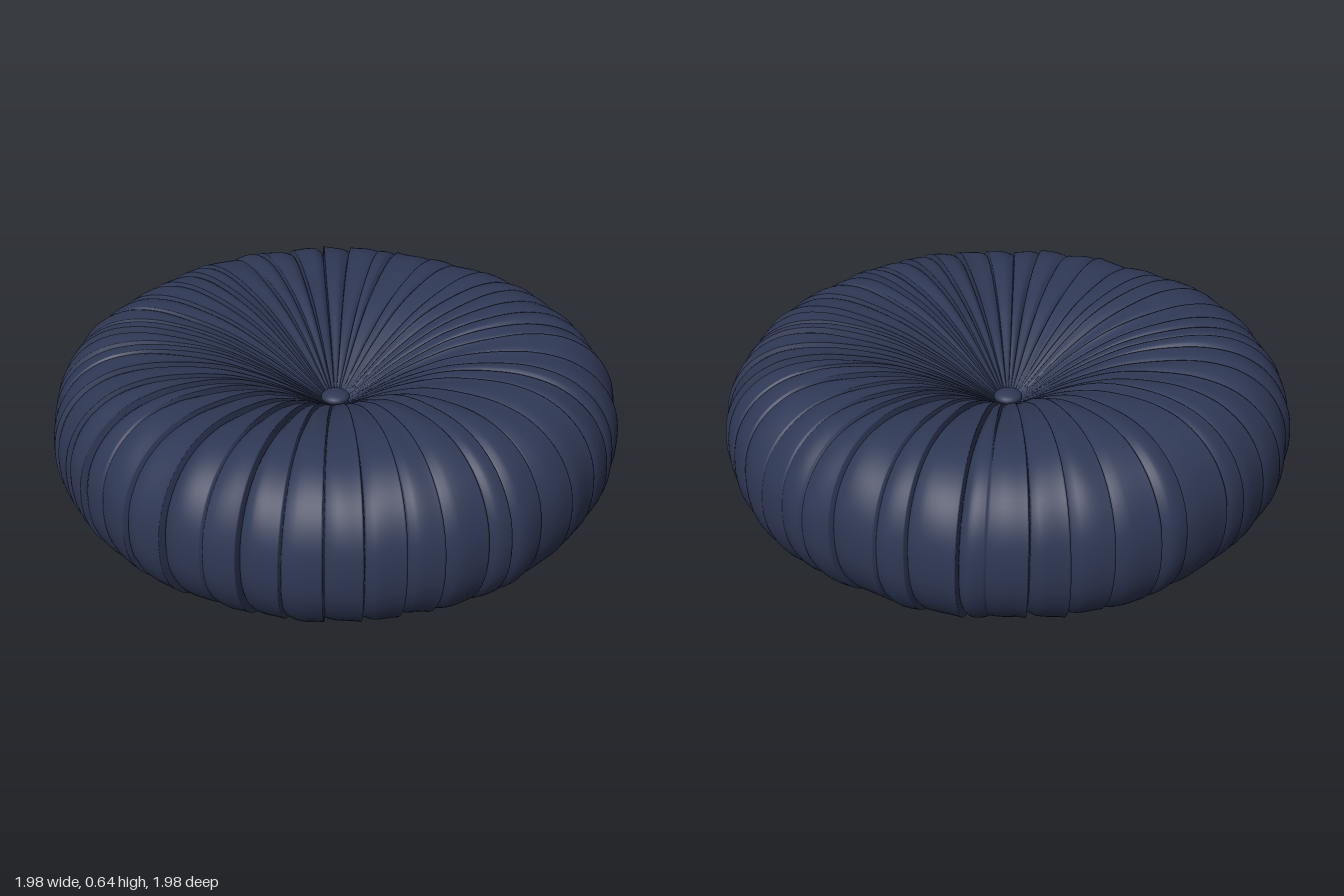
import * as THREE from 'three';

const PLEATS = 46, ROWS = 92, MID = 0.325;

// small seeded generator for the irregular pleats
function seeded(seed) {
  return () => {
    seed = (seed * 1664525 + 1013904223) % 4294967296;
    return seed / 4294967296;
  };
}

// cross-section from the top button, around the rim, to the bottom button
function sectionCurve() {
  const half = [[0.02, 0.065], [0.06, 0.08], [0.13, 0.12], [0.25, 0.188], [0.4, 0.253],
    [0.55, 0.289], [0.69, 0.3], [0.81, 0.276], [0.905, 0.212], [0.965, 0.115]];
  const points = [...half, [0.983, 0], ...half.map(([r, y]) => [r, -y]).reverse()];
  return new THREE.CatmullRomCurve3(points.map(([r, y]) => new THREE.Vector3(r, y + MID, 0)));
}

function cushionGeometry() {
  const rand = seeded(77);
  const step = Math.PI * 2 / PLEATS;
  const pleats = Array.from({ length: PLEATS }, (_, i) => ({
    angle: i * step + (rand() - 0.5) * 0.066,
    rim: rand() < 0.4 ? 0.1 + rand() * 0.2 : 0.6 + rand() * 0.5,
    wobble: 0.004 + rand() * 0.007,
    freq: 4 + rand() * 7,
    phase: rand() * 6.28,
    puff: rand(),
  }));
  const creaseAngle = (p, v) => p.angle + p.wobble * Math.sin(p.freq * v + p.phase);

  // each crease is deep by the inner funnel and may fade over the rim
  const strength = (p, v, r) => {
    const outer = THREE.MathUtils.smoothstep(r, 0.35, 0.85);
    const fade = THREE.MathUtils.lerp(1, p.rim, outer);
    return fade * (0.85 + 0.25 * Math.sin(3 * v + p.phase)) * Math.min(1, r / 0.4);
  };

  const curve = sectionCurve();
  const positions = [], index = [];
  let columns = 0;
  for (let i = 0; i <= ROWS; i++) {
    const v = i / ROWS;
    const point = curve.getPointAt(v), tangent = curve.getTangentAt(v);
    const r = point.x, grow = Math.min(1, r / 0.5);
    columns = 0;
    pleats.forEach((p, k) => {
      const q = pleats[(k + 1) % PLEATS];
      const start = creaseAngle(p, v);
      const end = creaseAngle(q, v) + (k === PLEATS - 1 ? Math.PI * 2 : 0);
      const gap = end - start;
      const sp = strength(p, v, r), sq = strength(q, v, r);
      // columns crowd together next to the creases
      const inner = [0.15, 0.3, 0.45, 0.6, 0.75, 0.9].map(t => 0.015 + t * (gap - 0.027));
      const offsets = [0, 0.004, 0.009, ...inner, gap - 0.009, gap - 0.003];
      for (const off of offsets) {
        const a = start + off, t = off / gap;
        let h = 0.007 * Math.sin(Math.PI * t) * (0.4 + p.puff) * grow;
        h -= 0.019 * sp * Math.exp(-off / 0.012);
        if (off > 0) h += 0.013 * sq * Math.exp(-(gap - off) / 0.035);
        // soft cloth wrinkles
        h += grow * (0.003 * Math.sin(9 * a + 11 * v) + 0.0025 * Math.sin(23 * a - 17 * v + 1)
          + 0.003 * Math.sin(4 * a + 3 * v + 2));
        const rr = Math.max(0.01, r - tangent.y * h);
        positions.push(rr * Math.sin(a), point.y + tangent.x * h, rr * Math.cos(a));
        columns++;
      }
    });
  }
  for (let i = 0; i < ROWS; i++) {
    for (let j = 0; j < columns; j++) {
      const a = i * columns + j, b = i * columns + (j + 1) % columns;
      index.push(a, a + columns, b + columns, a, b + columns, b);
    }
  }
  const geometry = new THREE.BufferGeometry();
  geometry.setAttribute('position', new THREE.Float32BufferAttribute(positions, 3));
  geometry.setIndex(index);
  geometry.computeVertexNormals();
  return geometry;
}

export function createModel() {
  const group = new THREE.Group();
  group.name = 'tuftedCushion';
  const fabric = new THREE.MeshStandardMaterial({ color: 0x2f3855 });
  fabric.name = 'navyFabric';

  // pleated round body
  const body = new THREE.Mesh(cushionGeometry(), fabric);
  body.name = 'pleatedBody';
  group.add(body);

  // covered buttons at the centre of both faces
  for (const [name, side] of [['topButton', 1], ['bottomButton', -1]]) {
    const button = new THREE.Mesh(new THREE.SphereGeometry(0.05, 32, 16), fabric);
    button.name = name;
    button.scale.y = 0.45;
    button.position.y = MID + side * 0.083;
    group.add(button);
  }
  return group;
}
